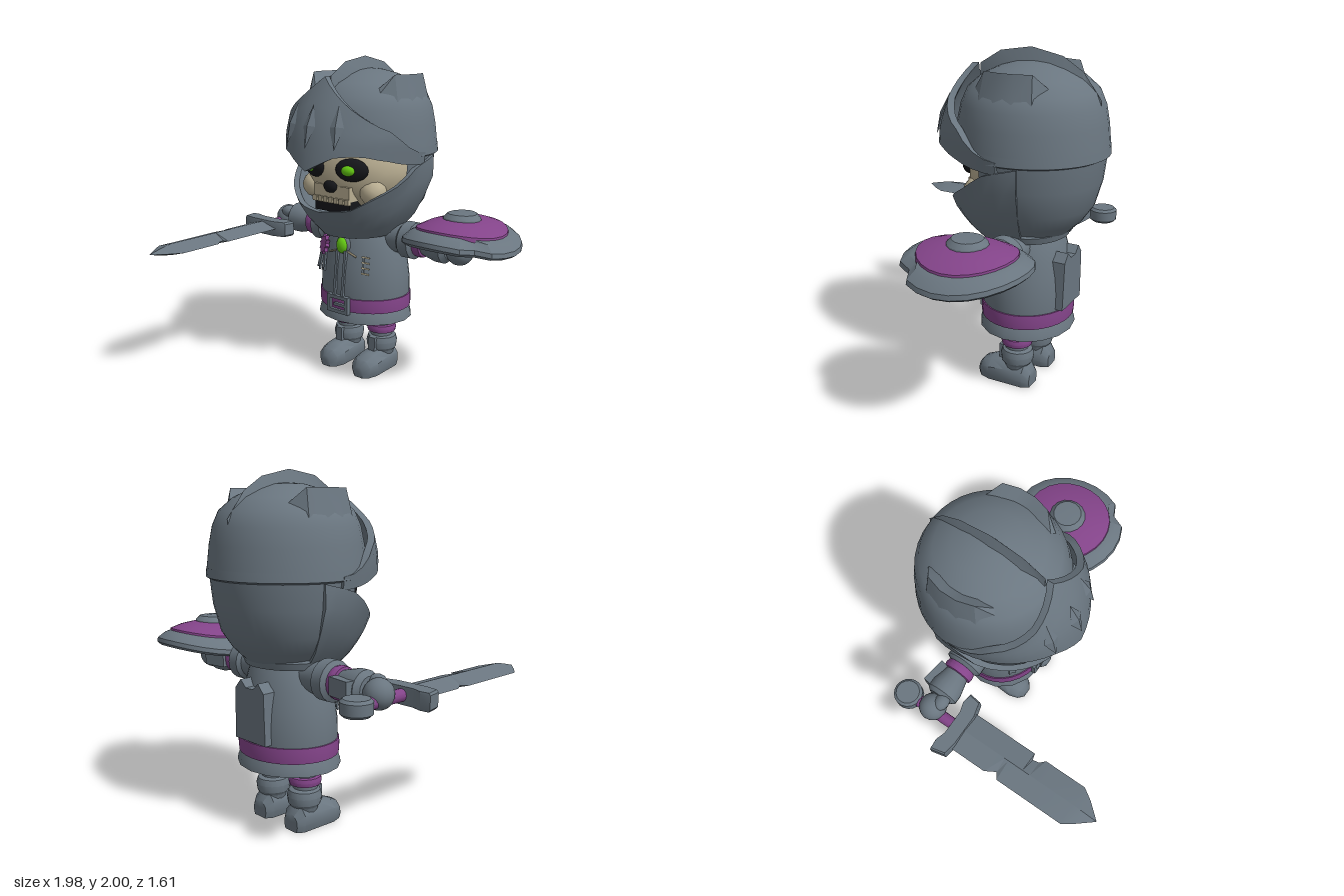
import * as THREE from 'three';
import { toCreasedNormals } from 'three/addons/utils/BufferGeometryUtils.js';

const mat = (name, color, side = THREE.FrontSide) => {
  const m = new THREE.MeshStandardMaterial({ color, side });
  m.name = name;
  return m;
};
const rad = THREE.MathUtils.degToRad;

// Piecewise linear lookup in [[x, value], ...]
function lerpTable(t, x) {
  if (x <= t[0][0]) return t[0][1];
  for (let i = 1; i < t.length; i++) {
    const [a, va] = t[i - 1], [b, vb] = t[i];
    if (x <= b) return va + (vb - va) * (x - a) / (b - a);
  }
  return t[t.length - 1][1];
}

// Closed solid through a row of equally sized rings, wound outwards
function loft(rings, crease = 0.6) {
  const n = rings[0].length, pos = rings.flat(2), idx = [];
  for (let i = 0; i < rings.length - 1; i++)
    for (let j = 0; j < n; j++) {
      const k = (j + 1) % n, a = i * n + j, b = i * n + k;
      idx.push(a, b, b + n, a, b + n, a + n);
    }
  [0, rings.length - 1].forEach((r, end) => {
    const c = [0, 1, 2].map(d => rings[r].reduce((s, p) => s + p[d], 0) / n);
    const ci = pos.length / 3;
    pos.push(...c);
    for (let j = 0; j < n; j++) {
      const a = r * n + j, b = r * n + (j + 1) % n;
      end ? idx.push(a, b, ci) : idx.push(b, a, ci);
    }
  });
  const v = i => new THREE.Vector3().fromArray(pos, i * 3);
  let vol = 0;
  for (let i = 0; i < idx.length; i += 3) vol += v(idx[i]).dot(v(idx[i + 1]).cross(v(idx[i + 2])));
  if (vol < 0) idx.reverse();
  const g = new THREE.BufferGeometry();
  g.setAttribute('position', new THREE.Float32BufferAttribute(pos, 3));
  g.setIndex(idx);
  return toCreasedNormals(g, crease);
}

const lathe = (pts, seg = 32, start = 0, len = Math.PI * 2, crease = 0.5) =>
  toCreasedNormals(new THREE.LatheGeometry(pts.map(p => new THREE.Vector2(...p)), seg, start, len), crease);
const plate = (pts, depth) => new THREE.ExtrudeGeometry(
  new THREE.Shape(pts.map(p => new THREE.Vector2(...p))), { depth, bevelEnabled: false });

export function createModel() {
  const steel = mat('steel grey', 0x6a7680), shell = mat('open steel grey', 0x6a7680, THREE.DoubleSide);
  const purple = mat('purple', 0x84448a), bone = mat('bone', 0xb9ae92);
  const black = mat('black', 0x15161a), green = mat('green', 0x66cc14);
  const model = new THREE.Group(), body = new THREE.Group();
  body.name = 'knight';
  body.position.set(-0.08, 0, -0.36);
  model.add(body);

  const add = (name, geo, m, p = [0, 0, 0], r = [0, 0, 0], s = [1, 1, 1], parent = body) => {
    const o = new THREE.Mesh(geo, m);
    o.name = name;
    o.position.set(...p);
    o.rotation.set(...r, 'YXZ');
    o.scale.set(...s);
    parent.add(o);
    return o;
  };
  const box = (w, h, d) => new THREE.BoxGeometry(w, h, d);
  const ball = (r, a = 16, b = 12) => new THREE.SphereGeometry(r, a, b);

  // Helmet dome and back, open at the face
  add('helmetDome', lathe([[0.43, 1.46], [0.44, 1.47], [0.425, 1.6], [0.405, 1.7], [0.37, 1.78], [0.29, 1.85], [0.19, 1.895],
    [0.1, 1.92], [0, 1.93]], 36), shell);
  add('helmetBack', lathe([[0.24, 0.97], [0.31, 1.04], [0.37, 1.13], [0.41, 1.28], [0.425, 1.42], [0.445, 1.43], [0.44, 1.48]],
    28, rad(73), rad(214)), shell);

  // Central crest and curved side ridges
  add('crest', loft([[0.34, 1.89, 0.01], [0.21, 1.97, 0.035], [0.02, 2, 0.04], [-0.17, 1.96, 0.04], [-0.29, 1.885, 0.035],
    [-0.4, 1.74, 0.01]].map(([z, y, w]) => [[-w, y - 0.11, z], [0, y, z], [w, y - 0.11, z]]), 0.4), steel);
  for (const s of [-1, 1])
    add('sideRidge', loft([-40, -24, -8, 8, 24, 40].map(a => {
      const k = Math.abs(a) > 35 ? 0 : 1, c = Math.cos(rad(a)) * s, d = Math.sin(rad(a));
      return [[0.31 - 0.06 * k, 1.82], [0.32 + 0.025 * k, 1.82 + 0.08 * k], [0.35 + 0.035 * k, 1.79 - 0.05 * k]]
        .map(([r, y]) => [r * c, y, r * d]);
    }), 0.4), steel);

  // Visor: curved plate with pointed brow
  const low = [[0, 1.36], [0.18, 1.45], [0.3, 1.455], [0.39, 1.42], [0.45, 1.38]];
  const high = [[0, 1.89], [0.2, 1.74], [0.4, 1.58], [0.45, 1.45]];
  const visorX = [[1.36, 0.435], [1.53, 0.455], [1.7, 0.44], [1.89, 0.38]];
  const visorZ = [[1.36, 0.57], [1.55, 0.55], [1.72, 0.49], [1.89, 0.39]];
  const steps = [0, 0.25, 0.5, 0.75, 1], angles = (max, n) => Array.from({ length: n + 1 }, (_, i) => -max + 2 * max * i / n);
  add('visor', loft(angles(90, 24).map(a => {
    const sn = Math.sin(rad(a)), cs = Math.cos(rad(a)), dx = Math.abs(sn) * 0.45;
    const y0 = lerpTable(low, dx), y1 = lerpTable(high, dx);
    const side = t => steps.map(k => {
      const y = y0 + (y1 - y0) * k;
      return [(lerpTable(visorX, y) - t) * sn, y, (lerpTable(visorZ, y) - t) * cs];
    });
    return [...side(0), ...side(0.04).reverse()];
  }), 0.5), steel);
  for (const s of [-1, 0, 1])
    add('visorSlot', new THREE.OctahedronGeometry(1), steel, [0.17 * s, 1.615, s ? 0.487 : 0.527], [-0.32, 0.33 * s, 0], [0.045, 0.13, 0.02]);

  // Chin guard
  const chinTop = [[0, 1.1], [25, 1.12], [45, 1.2], [60, 1.26], [80, 1.37], [105, 1.42]];
  const chinR = [[0.92, 0.22], [1, 0.3], [1.1, 0.365], [1.2, 0.405], [1.3, 0.445], [1.42, 0.44]];
  add('chinGuard', loft(angles(105, 24).map(a => {
    const f = Math.max(0, Math.cos(rad(a))) ** 1.5 * 0.09, y1 = lerpTable(chinTop, Math.abs(a));
    const side = t => steps.map(k => {
      const y = 0.92 + (y1 - 0.92) * k, r = lerpTable(chinR, y) + f - t;
      return [r * Math.sin(rad(a)), y, r * Math.cos(rad(a))];
    });
    return [...side(0), ...side(0.035).reverse()];
  }), 0.5), steel);

  // Skull face
  const skull = new THREE.IcosahedronGeometry(1, 2);
  add('skull', skull, bone, [0, 1.33, 0.03], [0, 0, 0], [0.36, 0.3, 0.33]);
  add('upperJaw', box(0.28, 0.09, 0.16), bone, [0, 1.2, 0.26]);
  add('mouth', box(0.27, 0.1, 0.16), black, [0, 1.13, 0.25]);
  for (let i = 0; i < 7; i++) add('tooth', box(0.03, 0.035, 0.03), bone, [(i - 3) * 0.042, 1.155, 0.335]);
  add('nose', new THREE.IcosahedronGeometry(1, 1), black, [0, 1.24, 0.345], [0, 0, 0], [0.05, 0.04, 0.03]);
  for (const s of [-1, 1]) {
    add('eyeSocket', ball(1, 12, 8), black, [0.145 * s, 1.35, 0.32], [0, 0.35 * s, 0], [0.105, 0.07, 0.045]);
    add('eye', ball(1, 12, 8), green, [0.145 * s, 1.35, 0.355], [0, 0.2 * s, 0], [0.045, 0.032, 0.025]);
    add('cheek', new THREE.IcosahedronGeometry(0.085, 1), bone, [0.23 * s, 1.21, 0.22]);
  }

  // Coat, collar, skirt and belt
  const oval = [1, 1, 0.88];
  add('coat', lathe([[0, 0.4], [0.29, 0.4], [0.3, 0.52], [0.298, 0.62], [0.285, 0.72], [0.262, 0.82], [0.235, 0.91], [0.2, 0.98], [0, 1]]),
    steel, [0, 0, 0], [0, 0, 0], oval);
  add('collar', lathe([[0.2, 0.93], [0.26, 0.94], [0.275, 0.98], [0.25, 1.02], [0.2, 1.02]]), steel, [0, 0, 0], [0, 0, 0], oval);
  add('skirt', lathe([[0, 0.33], [0.22, 0.33], [0.27, 0.355], [0.318, 0.36], [0.312, 0.39], [0.295, 0.43], [0, 0.43]], 16),
    steel, [0, 0, 0], [0, 0, 0], oval);
  add('belt', lathe([[0.29, 0.43], [0.307, 0.432], [0.31, 0.475], [0.307, 0.518], [0.29, 0.52]]), purple, [0, 0, 0], [0, 0, 0], oval);

  // Buckle
  for (const s of [-1, 1]) {
    add('buckleSide', box(0.025, 0.11, 0.03), steel, [0.072 * s, 0.473, 0.272]);
    add('buckleBar', box(0.168, 0.022, 0.03), steel, [0, 0.473 + 0.046 * s, 0.272]);
    add('coatEdge', box(0.018, 0.3, 0.03), steel, [0.032 * s, 0.67, 0.25], [-0.11, 0, 0]);
  }
  add('bucklePin', box(0.09, 0.018, 0.02), steel, [0.02, 0.473, 0.28]);

  // Gem, stitches and rosette on the chest
  add('gem', ball(1), green, [0, 0.85, 0.235], [0, 0, 0], [0.042, 0.052, 0.03]);
  add('gemSetting', ball(1), steel, [0, 0.85, 0.222], [0, 0, 0], [0.055, 0.063, 0.025]);
  for (const s of [-1, 1])
    add('cord', new THREE.CylinderGeometry(0.006, 0.006, 0.09, 6), bone, [0.065 * s, 0.805, 0.23], [0, 0, s * 1.25]);
  for (let i = 0; i < 4; i++)
    add('stitch', box(0.05, 0.009, 0.012), bone, [0.16 + 0.004 * i, 0.79 - i * 0.033, 0.2 + 0.007 * i], [-0.2, 0.55, -0.15]);
  add('seam', box(0.012, 0.11, 0.012), steel, [0.15, 0.74, 0.213], [-0.2, 0.5, 0]);
  const star = Array.from({ length: 20 }, (_, i) => {
    const r = i % 2 ? 0.047 : 0.065, a = i * Math.PI / 10;
    return [r * Math.cos(a), r * Math.sin(a)];
  });
  add('rosette', plate(star, 0.025), purple, [-0.17, 0.815, 0.19], [-0.2, -0.55, 0]);
  for (const s of [-1, 1])
    add('rosetteTail', plate([[-0.02, 0], [0.02, 0], [0.024, -0.13], [0, -0.11], [-0.024, -0.13]], 0.012), steel,
      [-0.175 + 0.012 * s, 0.78, 0.2], [-0.15, -0.55, 0.15 * s]);

  // Back pocket
  add('backPocket', plate([[-0.13, 0.53], [0.13, 0.53], [0.12, 0.82], [0.075, 0.87], [0.03, 0.83], [-0.03, 0.83], [-0.075, 0.87], [-0.12, 0.82]],
    0.09), steel, [0, 0, -0.28]);

  // Legs and boots
  const bootSections = [[-0.11, 0.055, 0.1], [-0.07, 0.085, 0.15], [0.05, 0.09, 0.15], [0.15, 0.095, 0.135], [0.21, 0.075, 0.11], [0.24, 0.035, 0.07]];
  for (const s of [-1, 1]) {
    const leg = new THREE.Group();
    leg.name = s > 0 ? 'leftLeg' : 'rightLeg';
    leg.position.x = 0.138 * s;
    body.add(leg);
    const part = (name, g, m, p) => add(name, g, m, p, undefined, undefined, leg);
    part('thigh', new THREE.CylinderGeometry(0.072, 0.07, 0.24, 16), steel, [0, 0.28, 0]);
    part('legBand', lathe([[0.06, 0.255], [0.09, 0.26], [0.095, 0.283], [0.09, 0.305], [0.06, 0.31]], 20), purple);
    part('bootShaft', lathe([[0.07, 0.06], [0.08, 0.13], [0.095, 0.15], [0.1, 0.19], [0.09, 0.225], [0.07, 0.235], [0, 0.235]], 16), steel, [0, 0, -0.005]);
    part('bootFlap', box(0.05, 0.09, 0.03), steel, [0, 0.185, 0.092]);
    part('foot', loft(bootSections.map(([z, w, h]) => [[-w * 0.85, 0], [w * 0.85, 0], [w, h * 0.3], [w * 0.95, h * 0.65], [w * 0.5, h * 0.95],
      [0, h], [-w * 0.5, h * 0.95], [-w * 0.95, h * 0.65], [-w, h * 0.3]].map(([x, y]) => [x, y, z])), 0.7), steel);
  }

  // Arms: profiles turned along x
  for (const s of [-1, 1]) {
    const arm = new THREE.Group();
    arm.name = s > 0 ? 'leftArm' : 'rightArm';
    arm.position.set(0, 0.895, -0.01);
    arm.rotation.z = -s * Math.PI / 2;
    body.add(arm);
    const part = (name, pts, m) => add(name, lathe(pts, 18), m, undefined, undefined, undefined, arm);
    part('sleeve', [[0, 0.12], [0.09, 0.15], [0.095, 0.3], [0.115, 0.32], [0.115, 0.39], [0.08, 0.41], [0, 0.41]], steel);
    part('armBand', [[0.07, 0.405], [0.09, 0.41], [0.095, 0.435], [0.09, 0.46], [0.07, 0.465]], purple);
    part('forearm', [[0, 0.45], [0.075, 0.46], [0.085, 0.5], [0.1, 0.56], [0.1, 0.61], [0.07, 0.635], [0, 0.635]], steel);
    add('elbowPlate', box(0.15, 0.1, 0.05), steel, [0.53 * s, 0.9, -0.105], [0, 0.15 * s, 0]);
    add('hand', ball(0.083), steel, [0.7 * s, 0.885, -0.01]);
    add('thumb', ball(0.045, 12, 8), steel, [0.655 * s, 0.935, 0.03], [0, 0, 0], [1.3, 0.9, 1]);
  }

  // Sword, pointing forwards
  const sword = new THREE.Group();
  sword.name = 'sword';
  sword.position.set(-0.715, 0.855, 0.36);
  body.add(sword);
  const W = 0.125;
  add('blade', loft([[-0.15, -W, W], [0.1, -W, W], [0.165, -0.088, W], [0.19, -W, W], [0.29, -W, W], [0.3, -W, 0.088], [0.34, -W, 0.095],
    [0.37, -W, W], [0.64, -W, W], [0.71, -0.075, 0.08], [0.8, -0.002, 0.002]].map(([z, l, r]) => {
    const h = z > 0.7 ? (0.8 - z) * 0.25 + 0.001 : 0.036;
    return [[l, 0, z], [0, h, z], [r, 0, z], [0, -h, z]];
  }), 0.2), steel, undefined, undefined, undefined, sword);
  const guard = [[-0.2, -0.23], [-0.14, -0.235], [-0.1, -0.215], [0.1, -0.215], [0.14, -0.235], [0.2, -0.225], [0.19, -0.15], [0.1, -0.125],
    [-0.1, -0.125], [-0.18, -0.14]];
  add('guard', loft([-0.052, -0.04, 0.035, 0.047].map((y, i) => guard.map(([x, z]) => {
    const k = i % 3 ? 1 : 0.95;
    return [x * k, y, -0.18 + (z + 0.18) * k];
  })), 0.5), steel, undefined, undefined, undefined, sword);
  add('grip', new THREE.CylinderGeometry(0.035, 0.035, 0.32, 12), purple, [0, 0, -0.36], [Math.PI / 2, 0, 0], undefined, sword);
  add('pommel', lathe([[0, -0.045], [0.07, -0.045], [0.086, -0.03], [0.086, 0.03], [0.07, 0.045], [0, 0.045]], 18), steel,
    [0, 0, -0.545], undefined, undefined, sword);

  // Shield, bent over the left forearm with a notch in its rim
  const shield = new THREE.Group();
  shield.name = 'shield';
  shield.position.set(0.715, 0, 0.005);
  body.add(shield);
  const bent = (name, pts, m, seg = 20) => {
    const g = new THREE.LatheGeometry(pts.map(p => new THREE.Vector2(...p)), seg), p = g.attributes.position;
    for (let i = 0; i < p.count; i++) {
      const x = p.getX(i), z = p.getZ(i), off = Math.abs(Math.atan2(z, x) - rad(40));
      const k = Math.hypot(x, z) > 0.3 && off < rad(9) ? 0.88 : 1;
      p.setXYZ(i, x * k, p.getY(i) - 0.45 * x * x, z * k);
    }
    add(name, toCreasedNormals(g, 0.45), m, undefined, undefined, undefined, shield);
  };
  bent('shieldPlate', [[0, 1.01], [0.2, 0.99], [0.33, 0.965], [0.35, 0.985], [0.345, 1.01], [0.3, 1.04], [0.26, 1.05], [0, 1.06]], steel, 24);
  bent('shieldRing', [[0.27, 1.035], [0.265, 1.06], [0.2, 1.08], [0.1, 1.095], [0, 1.095]], purple, 24);
  bent('shieldBoss', [[0.115, 1.08], [0.11, 1.1], [0.085, 1.125], [0, 1.13]], steel, 16);
  add('shieldGrip', new THREE.IcosahedronGeometry(0.06, 1), bone, [0.79, 0.935, 0.01], [0, 0, 0], [1, 0.9, 1.2]);

  return model;
}
